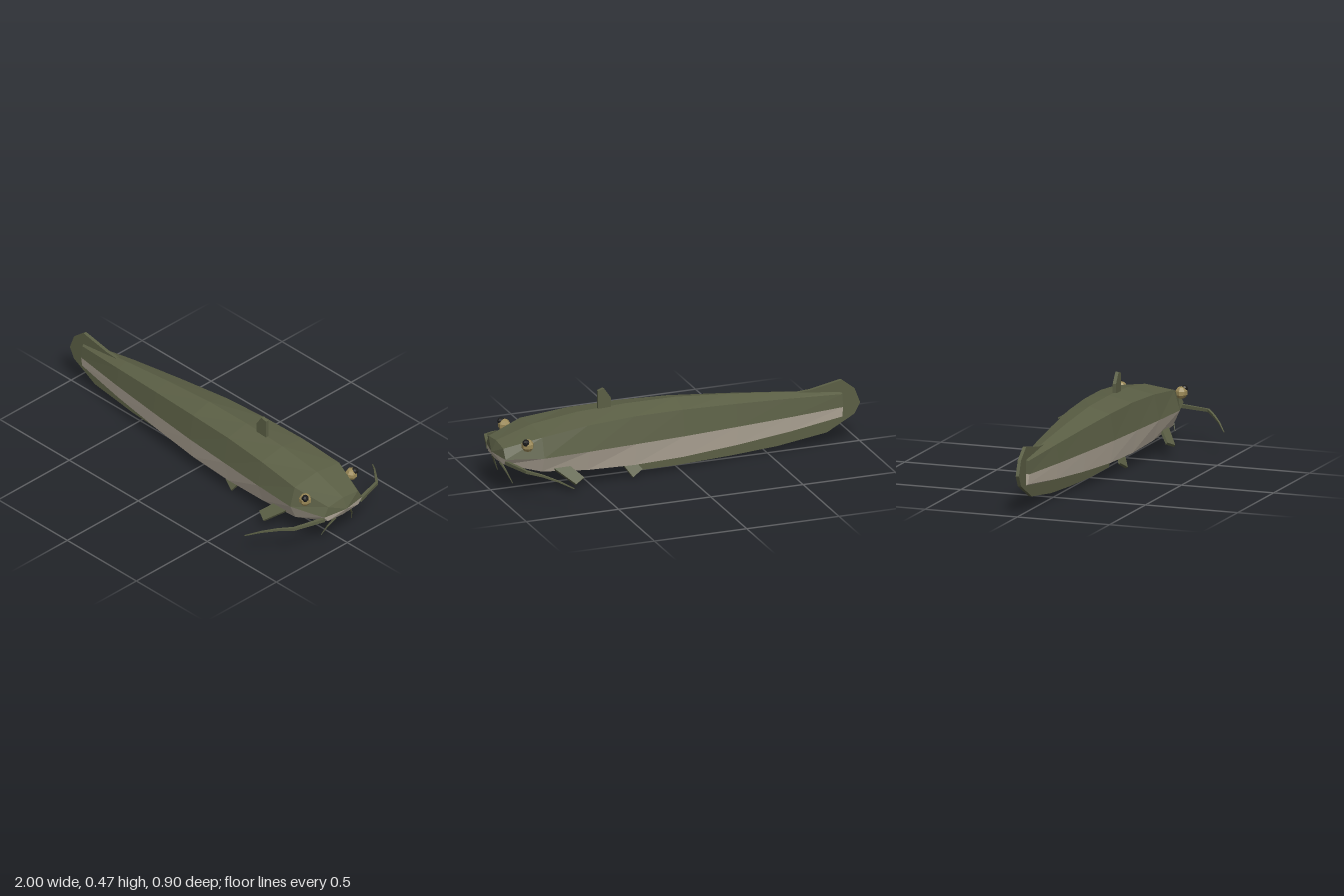
import * as THREE from 'three';

const V = (x, y, z) => new THREE.Vector3(x, y, z);

function mat(name, color, side = THREE.FrontSide) {
  const m = new THREE.MeshStandardMaterial({ color, flatShading: true, side });
  m.name = name;
  return m;
}

// Skin a list of cross-sections, each a list of points, with flat facets
function loft(rows, closed = false) {
  const pos = [], n = rows[0].length, last = closed ? n : n - 1;
  for (let i = 0; i < rows.length - 1; i++) {
    for (let j = 0; j < last; j++) {
      const k = (j + 1) % n;
      const a = rows[i][j], b = rows[i + 1][j], c = rows[i + 1][k], d = rows[i][k];
      for (const t of [[a, b, c], [a, c, d]]) {
        if (t[0].equals(t[1]) || t[1].equals(t[2]) || t[0].equals(t[2])) continue;
        t.forEach(p => pos.push(p.x, p.y, p.z));
      }
    }
  }
  const g = new THREE.BufferGeometry();
  g.setAttribute('position', new THREE.Float32BufferAttribute(pos, 3));
  g.computeVertexNormals();
  return g;
}

// Thin upright fin in the x-y plane
function finPlate(points, thickness = 0.018) {
  const shape = new THREE.Shape(points.map(p => new THREE.Vector2(p[0], p[1])));
  const g = new THREE.ExtrudeGeometry(shape, { depth: thickness, bevelEnabled: false });
  return g.translate(0, 0, -thickness / 2);
}

// Slanted four-cornered paddle, given thickness along its normal
function paddle(corners, thickness = 0.014) {
  const [a, b, c, d] = corners;
  const n = c.clone().sub(a).cross(d.clone().sub(b)).setLength(thickness / 2);
  const low = corners.map(p => p.clone().sub(n));
  const high = corners.map(p => p.clone().add(n));
  const mid = r => { const m = V(0, 0, 0); r.forEach(p => m.addScaledVector(p, 0.25)); return r.map(() => m.clone()); };
  return loft([mid(low), low, high, mid(high)], true);
}

// Four-sided whisker tapering along a path
function whisker(points, r0, r1) {
  const rows = points.map((p, i) => {
    const dir = points[Math.min(i + 1, points.length - 1)].clone().sub(points[Math.max(i - 1, 0)]).normalize();
    const u = V(0, 1, 0).addScaledVector(dir, -dir.y).normalize();
    const w = dir.clone().cross(u);
    const r = r0 + (r1 - r0) * i / (points.length - 1);
    return [0, 1, 2, 3].map(k => {
      const t = Math.PI / 4 + k * Math.PI / 2;
      return p.clone().addScaledVector(u, r * Math.cos(t)).addScaledVector(w, r * Math.sin(t));
    });
  });
  const end = points[points.length - 1];
  rows.push(rows[0].map(() => end.clone()));
  return loft(rows, true);
}

export function createModel() {
  const model = new THREE.Group();
  model.name = 'catfish';
  const olive = mat('olive skin', 0x5b5f45);
  const cream = mat('pale belly', 0xb8ae9e);
  const finMat = mat('fin olive', 0x5b5f45, THREE.DoubleSide);
  const gold = mat('eye gold', 0x9c8a58);
  const black = mat('pupil black', 0x1c1c1c);

  const add = (name, geometry, material, parent = model) => {
    const m = new THREE.Mesh(geometry, material);
    m.name = name;
    parent.add(m);
    return m;
  };

  // x, top y, shoulder y, shoulder z, flank z, lower y, lower z, bottom y
  const sections = [
    [-0.9, 0.283, 0.272, 0.02, 0.027, 0.152, 0.02, 0.142],
    [-0.6, 0.318, 0.3, 0.056, 0.07, 0.122, 0.056, 0.105],
    [-0.3, 0.348, 0.322, 0.086, 0.105, 0.1, 0.086, 0.08],
    [0, 0.371, 0.34, 0.114, 0.137, 0.086, 0.114, 0.065],
    [0.27, 0.372, 0.345, 0.13, 0.157, 0.083, 0.128, 0.06],
    [0.53, 0.361, 0.335, 0.146, 0.175, 0.094, 0.138, 0.067],
    [0.78, 0.328, 0.308, 0.157, 0.188, 0.123, 0.15, 0.098],
    [0.97, 0.266, 0.255, 0.103, 0.134, 0.172, 0.108, 0.163],
  ];
  const Y = 0.205;
  const back = sections.map(([x, t, sy, sz, f]) =>
    [V(x, Y, f), V(x, sy, sz), V(x, t, 0), V(x, sy, -sz), V(x, Y, -f)]);
  const belly = sections.map(([x, , , , f, ly, lz, b]) =>
    [V(x, Y, -f), V(x, ly, -lz), V(x, b, 0), V(x, ly, lz), V(x, Y, f)]);
  // Close the tail end and the snout
  for (const rows of [back, belly]) {
    rows.unshift(rows[0].map(() => V(-0.9, Y, 0)));
    rows.push(rows[0].map(() => V(0.995, 0.208, 0)));
  }
  add('back', loft(back), olive);
  add('belly', loft(belly), cream);

  // Tail fin running on into the long fin under the body
  add('tailAndAnalFin', finPlate([
    [-0.6, 0.305], [-0.73, 0.312], [-0.9, 0.345], [-0.97, 0.29], [-1, 0.212], [-0.97, 0.155],
    [-0.82, 0.073], [-0.55, 0.035], [-0.3, 0.018], [0, 0.005], [0.25, 0.005], [0.3, 0.07],
    [0, 0.1], [-0.6, 0.2],
  ]), finMat);
  add('dorsalFin', finPlate([
    [0.35, 0.35], [0.42, 0.35], [0.42, 0.46], [0.388, 0.47], [0.35, 0.415],
  ]), finMat);

  // Paired parts
  for (const s of [1, -1]) {
    const side = s > 0 ? 'left' : 'right';
    const pectoral = (x, y) => V(x, y, s * (0.275 - y));
    add(side + 'PectoralFin', paddle([
      pectoral(0.72, 0.132), pectoral(0.63, 0.132), pectoral(0.57, 0.077), pectoral(0.622, 0.055),
    ]), finMat);
    const pelvic = (x, y) => V(x, y, s * (0.103 - 0.54 * y));
    add(side + 'PelvicFin', paddle([
      pelvic(0.32, 0.085), pelvic(0.25, 0.085), pelvic(0.21, 0.037), pelvic(0.267, 0.006),
    ]), finMat);

    const eye = new THREE.Group();
    eye.name = side + 'Eye';
    model.add(eye);
    add('eyeball', new THREE.SphereGeometry(0.033, 7, 5), gold, eye).position.set(0.862, 0.278, s * 0.163);
    add('pupil', new THREE.SphereGeometry(0.019, 7, 5), black, eye).position.set(0.875, 0.297, s * 0.175);

    // Long whiskers sweep out and back, chin whiskers hang down
    add(side + 'LongWhisker', whisker([
      V(0.962, 0.186, s * 0.125), V(0.915, 0.186, s * 0.29), V(0.85, 0.175, s * 0.345),
      V(0.785, 0.155, s * 0.4), V(0.72, 0.125, s * 0.45),
    ], 0.013, 0.003), finMat);
    add(side + 'ChinWhisker', whisker([
      V(0.968, 0.168, s * 0.053), V(0.945, 0.12, s * 0.085), V(0.92, 0.063, s * 0.107),
    ], 0.007, 0.002), finMat);
  }
  return model;
}
